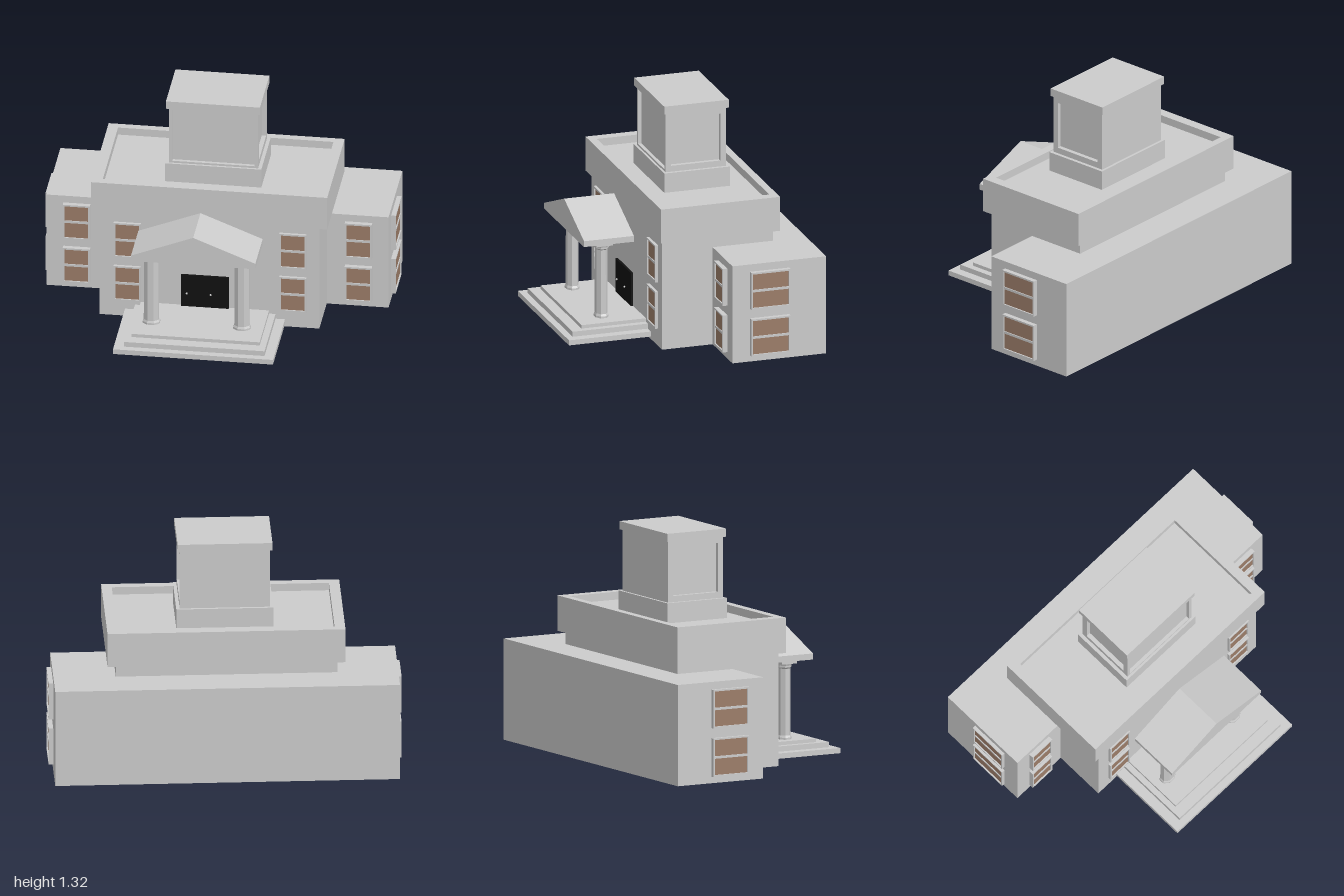
import * as THREE from 'three';

const grey = new THREE.MeshStandardMaterial({ color: 0xcccccc });
const greyFlat = new THREE.MeshStandardMaterial({ color: 0xcccccc, flatShading: true });
const brown = new THREE.MeshStandardMaterial({ color: 0x9c7d69 });
const black = new THREE.MeshStandardMaterial({ color: 0x111111 });

function add(parent, name, geometry, material = grey) {
  const mesh = new THREE.Mesh(geometry, material);
  mesh.name = name;
  parent.add(mesh);
  return mesh;
}

// Box given by its extents on each axis
function block(parent, name, [x0, x1], [y0, y1], [z0, z1], material) {
  const mesh = add(parent, name, new THREE.BoxGeometry(x1 - x0, y1 - y0, z1 - z0), material);
  mesh.position.set((x0 + x1) / 2, (y0 + y1) / 2, (z0 + z1) / 2);
  return mesh;
}

function rectangle(PathType, x0, x1, y0, y1) {
  return new PathType([[x0, y0], [x1, y0], [x1, y1], [x0, y1]].map(p => new THREE.Vector2(...p)));
}

// Rectangular frame in the xy plane, extruded towards +z
function frameGeometry(outer, inner, depth) {
  const shape = rectangle(THREE.Shape, ...outer);
  shape.holes.push(rectangle(THREE.Path, ...inner));
  return new THREE.ExtrudeGeometry(shape, { depth, bevelEnabled: false });
}

// Window facing +z with its back on z = 0
function makeWindow(name, w, h, depth) {
  const g = new THREE.Group();
  g.name = name;
  const a = w / 2, b = h / 2, t = 0.01;
  add(g, 'windowFrame', frameGeometry([-a, a, -b, b], [-a + t, a - t, -b + t, b - t], depth));
  block(g, 'windowPane', [-a + t, a - t], [-b + t, b - t], [0, depth - 0.008], brown);
  block(g, 'windowBar', [-a + t, a - t], [-0.007, 0.007], [0, depth - 0.003]);
  return g;
}

function makeColumn() {
  const g = new THREE.Group();
  g.name = 'column';
  // Eight-sided shaft with flared foot and neck
  const profile = [[0, 0.095], [0.041, 0.095], [0.041, 0.106], [0.036, 0.118], [0.035, 0.5],
    [0.042, 0.508], [0.042, 0.518], [0.046, 0.532], [0, 0.532]].map(p => new THREE.Vector2(...p));
  const shaft = new THREE.LatheGeometry(profile, 8);
  shaft.rotateY(Math.PI / 8);
  shaft.scale(1.27, 1, 1);
  add(g, 'columnShaft', shaft, greyFlat);
  block(g, 'capital', [-0.064, 0.064], [0.53, 0.55], [-0.05, 0.05]);
  return g;
}

function makeTower() {
  const g = new THREE.Group();
  g.name = 'tower';
  block(g, 'towerBase', [-0.28, 0.27], [0.8, 0.925], [-0.335, 0.055]);
  block(g, 'towerCore', [-0.235, 0.225], [0.925, 1.275], [-0.32, 0.022]);
  block(g, 'towerCap', [-0.275, 0.262], [1.275, 1.322], [-0.332, 0.053]);
  // Raised surrounds leave sunken panels on the front and both sides
  const front = add(g, 'frontPanelSurround',
    frameGeometry([-0.26, 0.25, 0.925, 1.275], [-0.24, 0.23, 0.937, 1.265], 0.02));
  front.position.z = 0.022;
  for (const side of [-1, 1]) {
    const geo = frameGeometry([-0.022, 0.32, 0.925, 1.275], [-0.01, 0.285, 0.96, 1.24], 0.025);
    geo.rotateY(Math.PI / 2);
    const surround = add(g, 'sidePanelSurround', geo);
    surround.position.x = side > 0 ? 0.225 : -0.26;
  }
  return g;
}

export function createModel() {
  const model = new THREE.Group();
  model.name = 'building';

  // Main masses
  block(model, 'wings', [-0.98, 0.973], [0, 0.58], [-0.675, -0.116]);
  block(model, 'mainBlock', [-0.635, 0.62], [0, 0.655], [-0.475, 0.186]);
  block(model, 'upperStorey', [-0.68, 0.668], [0.652, 0.81], [-0.502, 0.208]);
  const rim = frameGeometry([-0.68, 0.668, -0.208, 0.502], [-0.62, 0.61, -0.16, 0.457], 0.045);
  rim.rotateX(-Math.PI / 2);
  add(model, 'parapet', rim).position.y = 0.81;
  model.add(makeTower());

  // Entrance steps
  block(model, 'lowerStep', [-0.49, 0.424], [0.015, 0.045], [0.18, 0.675]);
  block(model, 'middleStep', [-0.433, 0.37], [0.045, 0.075], [0.18, 0.635]);
  block(model, 'upperStep', [-0.4, 0.333], [0.075, 0.095], [0.18, 0.57]);

  // Portico
  for (const x of [-0.307, 0.21]) {
    const column = makeColumn();
    column.position.set(x, 0, 0.412);
    model.add(column);
  }
  const gable = new THREE.Shape([[-0.405, 0.55], [0.305, 0.55], [0.305, 0.585], [-0.05, 0.725],
    [-0.405, 0.585]].map(p => new THREE.Vector2(...p)));
  add(model, 'pediment', new THREE.ExtrudeGeometry(gable, { depth: 0.298, bevelEnabled: false }))
    .position.z = 0.248;

  // Double door with handles
  for (const [x0, x1] of [[-0.168, -0.033], [-0.031, 0.104]]) {
    block(model, 'doorLeaf', [x0, x1], [0.095, 0.293], [0.18, 0.2], black);
    const knob = add(model, 'doorHandle', new THREE.SphereGeometry(0.006, 10, 8));
    knob.position.set(x0 + 0.033, 0.178, 0.204);
  }

  // Windows: two rows on the main front, wing fronts and wing ends
  const place = (name, w, h, d, x, y, z, turn = 0) => {
    const win = makeWindow(name, w, h, d);
    win.position.set(x, y, z);
    win.rotation.y = turn;
    model.add(win);
  };
  for (const y of [0.213, 0.49])
    for (const x of [-0.476, 0.47]) place('mainWindow', 0.155, 0.221, 0.018, x, y, 0.185);
  for (const y of [0.148, 0.426]) {
    for (const x of [-0.807, 0.803]) place('wingWindow', 0.155, 0.221, 0.029, x, y, -0.117);
    place('endWindow', 0.235, 0.221, 0.028, 0.972, y, -0.337, Math.PI / 2);
    place('endWindow', 0.235, 0.221, 0.021, -0.979, y, -0.337, -Math.PI / 2);
  }
  return model;
}
